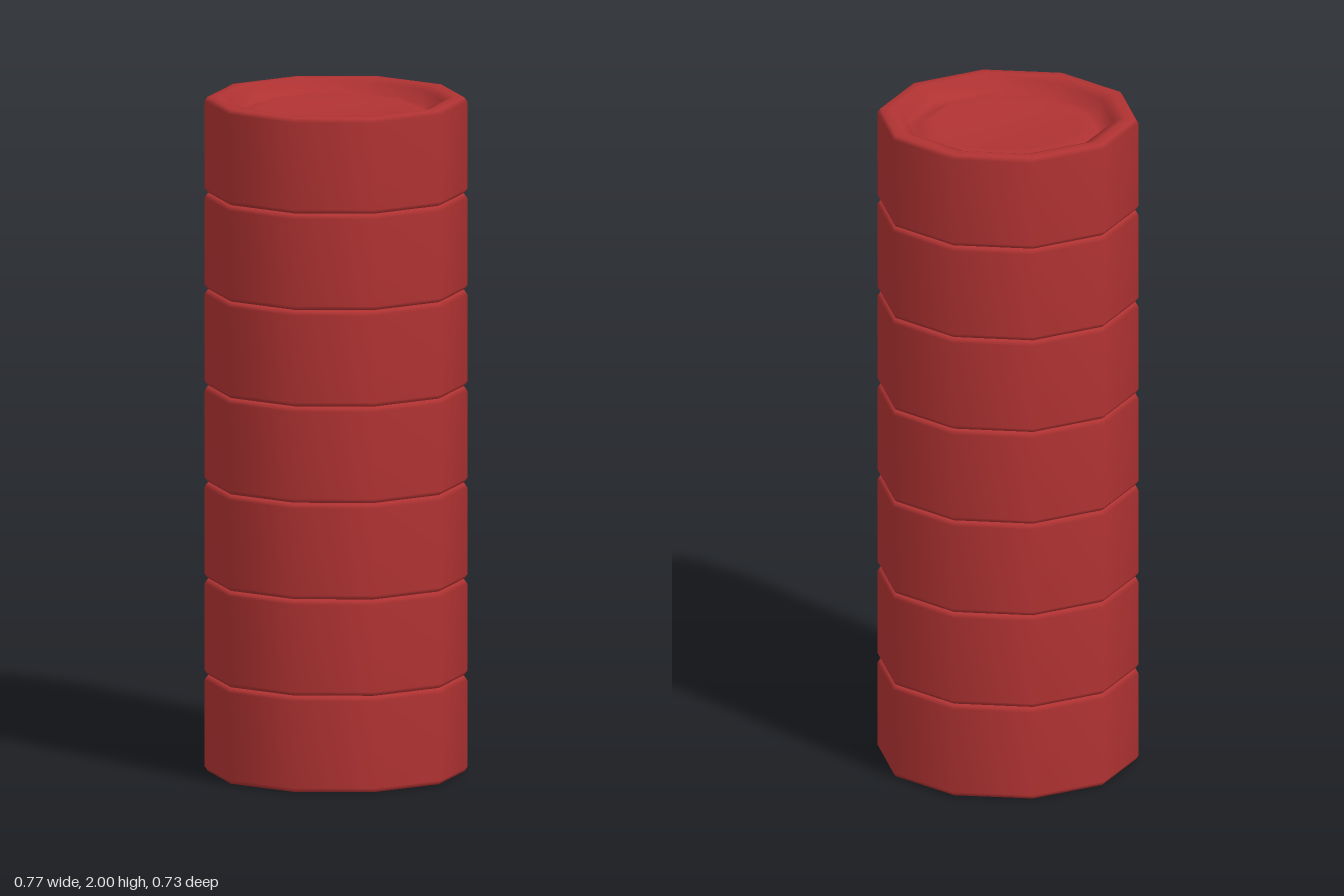
import * as THREE from 'three';

const COUNT = 7, SIDES = 10, H = 2 / COUNT;

// One end, from the centre out to the wall: [radius, depth below the end]
const END = [
  [0, 0.05], [0.2, 0.05], [0.235, 0.03], [0.265, 0.05],
  [0.305, 0.05], [0.31, 0.012], [0.345, 0], [0.375, 0.002], [0.383, 0.014],
];

export function createModel() {
  const group = new THREE.Group();
  group.name = 'stack';
  const red = new THREE.MeshStandardMaterial({ color: 0xb03232 });
  red.name = 'red';

  // Bottom end, straight wall, then the mirrored top end
  const profile = [
    ...END.map(([r, d]) => new THREE.Vector2(r, d)),
    ...[...END].reverse().map(([r, d]) => new THREE.Vector2(r, H - d)),
  ];
  // Turned so that two corners lie on the x axis
  const geometry = new THREE.LatheGeometry(profile, SIDES, Math.PI / 2);

  // Identical ten-sided pieces stacked on each other
  for (let i = 0; i < COUNT; i++) {
    const piece = new THREE.Mesh(geometry, red);
    piece.name = `stackedPiece${i + 1}`;
    piece.position.y = i * H;
    group.add(piece);
  }
  return group;
}
